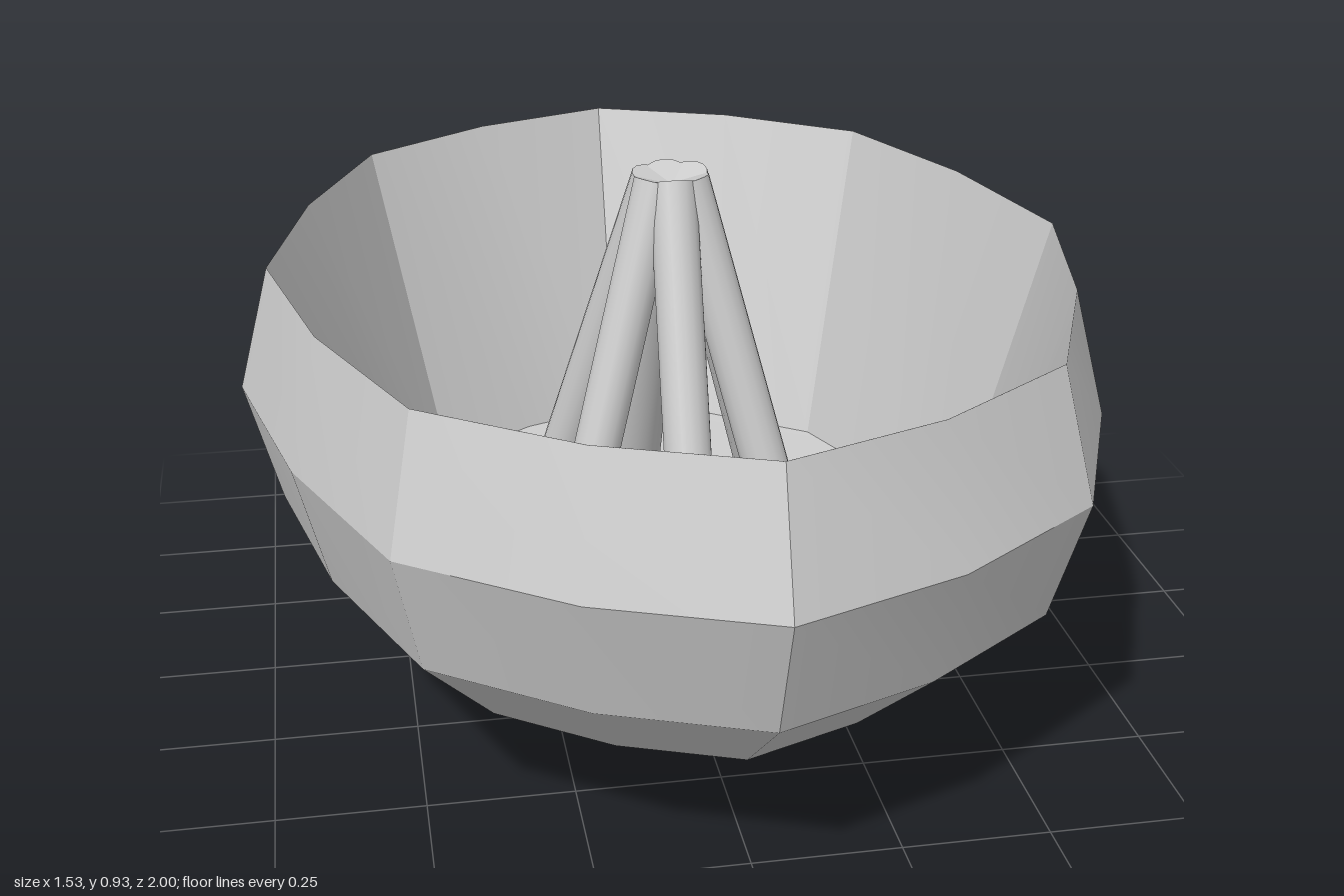
import * as THREE from 'three';
import { toCreasedNormals } from 'three/addons/utils/BufferGeometryUtils.js';

const HALF_WIDTH = 0.765, HALF_LENGTH = 1, SIDES = 16;

// Oval ring point; every second corner lies slightly inside the ellipse
function ringPoint(i, scale, y) {
  const a = (i / SIDES) * Math.PI * 2;
  const r = scale * (i % 2 ? 0.965 : 1);
  return [HALF_WIDTH * r * Math.cos(a), y, HALF_LENGTH * r * Math.sin(a)];
}

// Skin of oval rings along a [scale, height] profile
function ovalShell(profile) {
  const pos = [];
  for (let j = 0; j < profile.length - 1; j++) {
    const [s0, y0] = profile[j], [s1, y1] = profile[j + 1];
    for (let i = 0; i < SIDES; i++) {
      const a = ringPoint(i, s0, y0), b = ringPoint(i + 1, s0, y0);
      const c = ringPoint(i + 1, s1, y1), d = ringPoint(i, s1, y1);
      if (s1 > 0) pos.push(...a, ...d, ...c);
      if (s0 > 0) pos.push(...a, ...c, ...b);
    }
  }
  const geo = new THREE.BufferGeometry();
  geo.setAttribute('position', new THREE.Float32BufferAttribute(pos, 3));
  return toCreasedNormals(geo, 0.3);
}

function rod(from, to, radius, material) {
  const dir = to.clone().sub(from);
  const mesh = new THREE.Mesh(new THREE.CylinderGeometry(radius, radius, dir.length(), 16), material);
  mesh.position.copy(from).addScaledVector(dir, 0.5);
  mesh.quaternion.setFromUnitVectors(new THREE.Vector3(0, 1, 0), dir.normalize());
  return mesh;
}

export function createModel() {
  const group = new THREE.Group();
  const material = new THREE.MeshStandardMaterial({ color: 0xcccccc, side: THREE.DoubleSide });

  // Faceted outer bowl: latitude bands of an ellipsoid, cut off above its widest ring
  const outer = [];
  for (let k = 0; k <= 5; k++) {
    const t = (k * Math.PI) / 8;
    outer.push([Math.sin(t), 0.57 * (1 - Math.cos(t))]);
  }
  const bowl = new THREE.Mesh(ovalShell(outer), material);
  bowl.name = 'bowl';
  group.add(bowl);

  // Sloping inner wall and shallow floor
  const lining = new THREE.Mesh(
    ovalShell([[0.924, 0.788], [0.707, 0.175], [0.383, 0.15], [0, 0.14]]), material);
  lining.name = 'innerWallAndFloor';
  group.add(lining);

  // Six rods leaning together over the middle
  const rods = new THREE.Group();
  rods.name = 'leaningRods';
  const feet = [[-0.01, -0.37], [0.24, -0.24], [0.22, 0.18], [-0.01, 0.35], [-0.24, 0.17], [-0.24, -0.2]];
  feet.forEach(([x, z], i) => {
    const top = new THREE.Vector3(x * 0.11, 0.91, z * 0.07);
    const leg = rod(new THREE.Vector3(x, 0.13, z), top, 0.042, material);
    leg.name = `rod${i + 1}`;
    rods.add(leg);
  });
  group.add(rods);
  return group;
}
